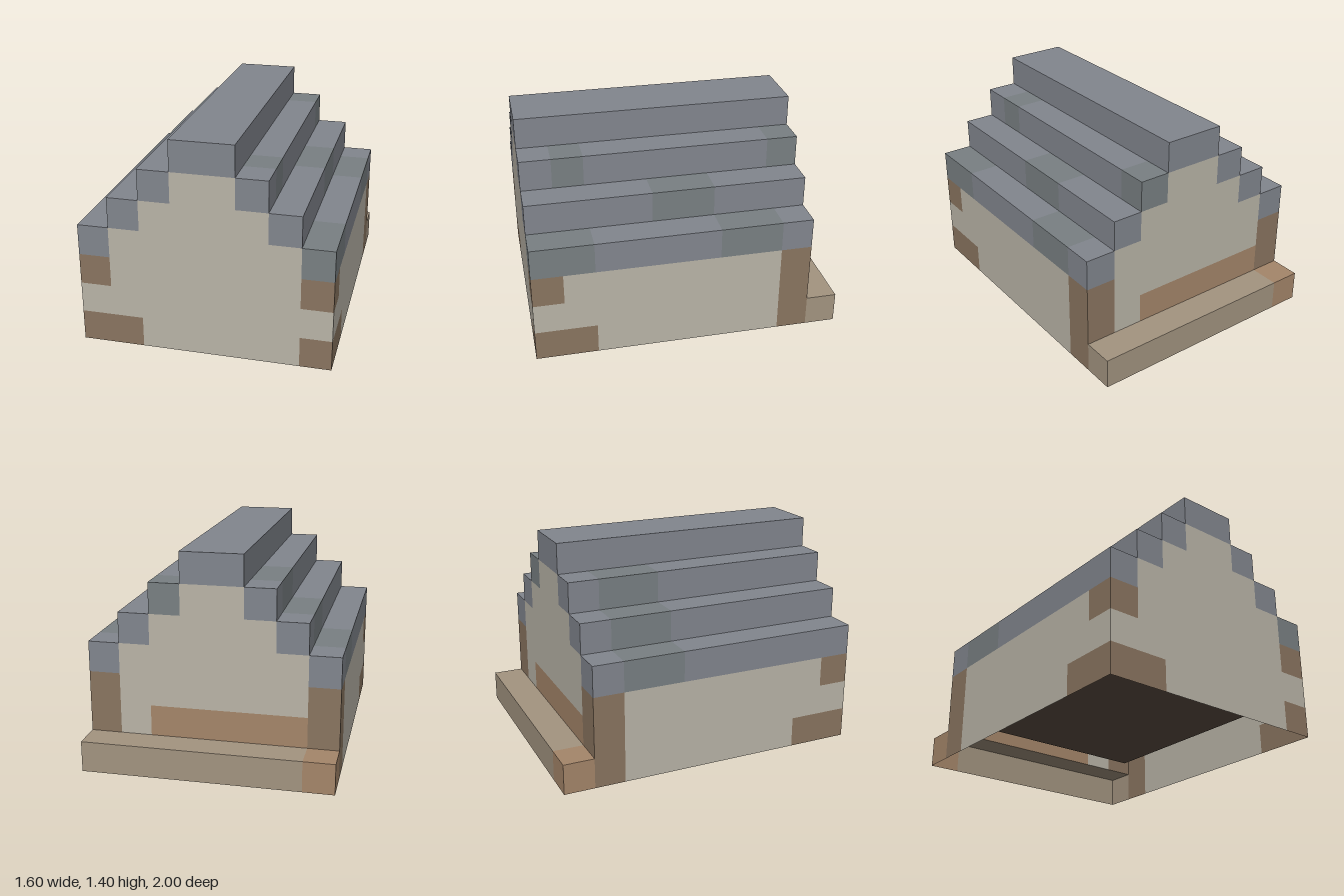
import * as THREE from 'three';

const U = 0.2;                 // edge length of one block
const NX = 8, NY = 7, NZ = 10; // grid size; layer z = 0 is the back ledge

const COLORS = {
  plasterWall: 0xbab5a8,
  timberFrame: 0x8a7560,
  backPlanks: 0xa5866a,
  ledge: 0xa39480,
  floor: 0x5f5044,
  roof: 0x82868e,
  weatheredRoof: 0x798083,
};

// Name of the part that fills a grid cell, or null where it is empty
function partAt(x, y, z) {
  if (x < 0 || y < 0 || z < 0 || x >= NX || y >= NY || z >= NZ) return null;

  // Ledge along the back
  if (z === 0) return y > 0 ? null : x === 0 ? 'backPlanks' : 'ledge';

  const side = Math.min(x, NX - 1 - x); // steps in from the nearer side
  const back = z === 1, front = z === NZ - 1;

  // Stepped roof, one block higher for each step inwards
  if (y >= 3) {
    if (y - 3 === side) {
      const patch = y === 3 && x === 7 ? z >= 8 || z === 2 || z === 3
        : (x * 5 + y * 3 + Math.floor(z / 2) * 7) % 4 === 0 && y < 6 && !front;
      return patch ? 'weatheredRoof' : 'roof';
    }
    return y - 3 < side && (back || front) ? 'plasterWall' : null; // gables
  }

  // Hollow room with a floor
  if (side > 0 && !back && !front) return y === 0 ? 'floor' : null;

  // Timber corner posts and quoins
  if (side === 0 && back) return 'timberFrame';
  if (side === 0 && front && y !== 1) return 'timberFrame';
  if (y === 0 && ((side === 0 && z === 8) || (x === 1 && front))) return 'timberFrame';

  // Planking above the ledge
  if (back && y === 1 && x >= 1 && x <= 5) return 'backPlanks';
  return 'plasterWall';
}

// Adds one block's exposed faces; the underside on the ground stays open
function addExposedFaces(cell, out) {
  for (let d = 0; d < 3; d++) {
    for (const s of [-1, 1]) {
      const next = [...cell];
      next[d] += s;
      if (next[1] < 0 || partAt(...next)) continue;
      const u = (d + 1) % 3, v = (d + 2) % 3;
      const ring = [[0, 0], [1, 0], [1, 1], [0, 1]];
      if (s < 0) ring.reverse();
      const corners = ring.map(([a, b]) => {
        const p = [...cell];
        p[d] += s > 0 ? 1 : 0;
        p[u] += a;
        p[v] += b;
        return [(p[0] - NX / 2) * U, p[1] * U, (p[2] - NZ / 2) * U];
      });
      for (const i of [0, 1, 2, 0, 2, 3]) out.push(...corners[i]);
    }
  }
}

export function createModel() {
  const group = new THREE.Group();
  group.name = 'blockHouse';

  // Collect the faces of each part
  const faces = {};
  for (const name in COLORS) faces[name] = [];
  for (let x = 0; x < NX; x++)
    for (let y = 0; y < NY; y++)
      for (let z = 0; z < NZ; z++) {
        const part = partAt(x, y, z);
        if (part) addExposedFaces([x, y, z], faces[part]);
      }

  // One mesh per part
  for (const name in COLORS) {
    const geometry = new THREE.BufferGeometry();
    geometry.setAttribute('position', new THREE.Float32BufferAttribute(faces[name], 3));
    geometry.computeVertexNormals();
    const material = new THREE.MeshStandardMaterial({ color: COLORS[name], side: THREE.DoubleSide });
    const mesh = new THREE.Mesh(geometry, material);
    mesh.name = name;
    group.add(mesh);
  }
  return group;
}
